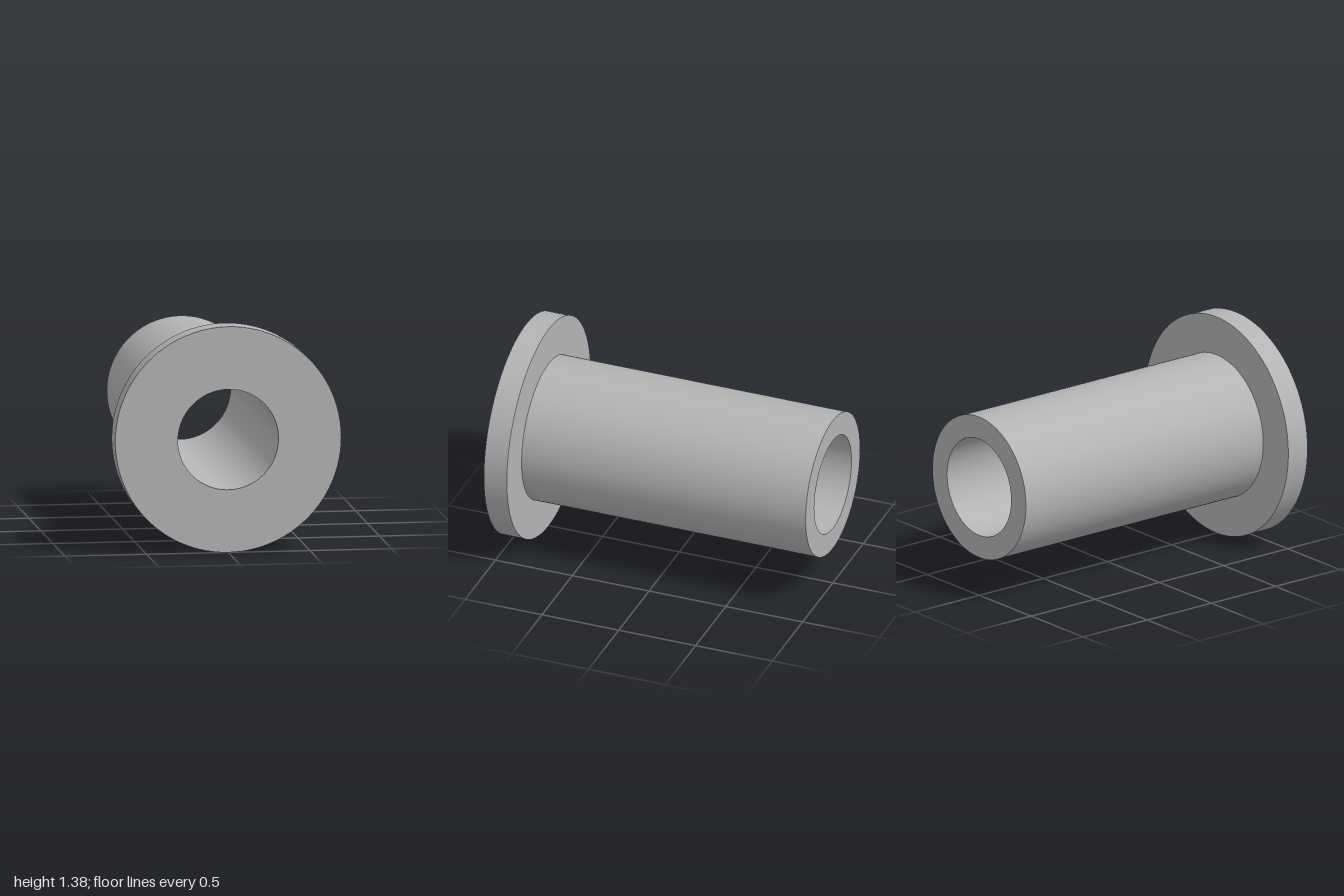
import * as THREE from 'three';
import { toCreasedNormals } from 'three/addons/utils/BufferGeometryUtils.js';

const BORE = 0.308, TUBE = 0.45, FLANGE = 0.692;
const BACK = -1, STEP = 0.85, FRONT = 1;

// Turn a [radius, z] profile around the z axis, keeping its corners sharp
function turned(name, profile, material) {
  const points = profile.map(([r, z]) => new THREE.Vector2(r, z));
  const lathe = new THREE.LatheGeometry(points, 96).rotateX(Math.PI / 2);
  const mesh = new THREE.Mesh(toCreasedNormals(lathe, Math.PI / 6), material);
  mesh.name = name;
  mesh.position.y = FLANGE;
  return mesh;
}

export function createModel() {
  const metal = new THREE.MeshStandardMaterial({ color: 0xb4b4b4 });
  metal.name = 'grey metal';

  const group = new THREE.Group();
  group.name = 'flangedBushing';
  group.add(
    // Bore wall, rear end ring and outer sleeve wall
    turned('sleeve', [[BORE, FRONT], [BORE, BACK], [TUBE, BACK], [TUBE, STEP]], metal),
    // Rear shoulder, rim and front face
    turned('flange', [[TUBE, STEP], [FLANGE, STEP], [FLANGE, FRONT], [BORE, FRONT]], metal),
  );
  return group;
}
